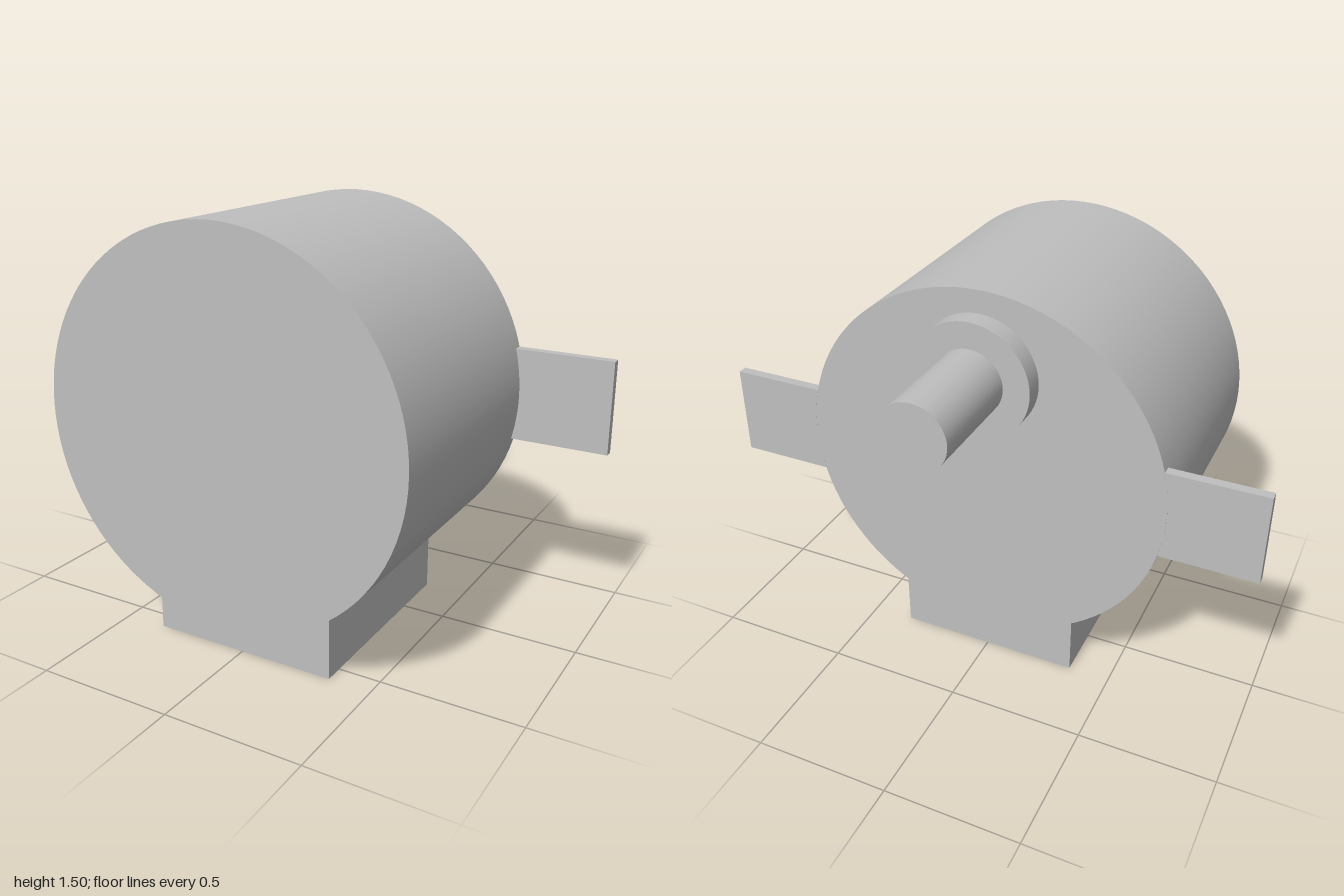
import * as THREE from 'three';

const R = 0.674, CY = 0.827, SHAFT_Y = 1.207;
const BACK = -0.235, FRONT = 0.69;

export function createModel() {
  const group = new THREE.Group();
  const metal = new THREE.MeshStandardMaterial({ color: 0xbfbfbf });
  metal.name = 'grey metal';

  const add = (name, geometry) => {
    const mesh = new THREE.Mesh(geometry, metal);
    mesh.name = name;
    group.add(mesh);
  };

  // Cylinder lying along z between two depths
  const barrel = (name, radius, y, z0, z1, sides) => {
    const g = new THREE.CylinderGeometry(radius, radius, z1 - z0, sides);
    g.rotateX(Math.PI / 2).translate(0, y, (z0 + z1) / 2);
    add(name, g);
  };

  // Flat-sided block whose inner edge follows the body's curve.
  // It reaches outwards along +x, then is turned about the body's axis.
  const saddle = (name, halfWidth, reach, z0, z1, angle) => {
    const a = Math.asin(halfWidth / R);
    const shape = new THREE.Shape();
    shape.moveTo(R * Math.cos(a), -halfWidth);
    shape.lineTo(reach, -halfWidth);
    shape.lineTo(reach, halfWidth);
    shape.lineTo(R * Math.cos(a), halfWidth);
    shape.absarc(0, 0, R, a, -a, true);
    const g = new THREE.ExtrudeGeometry(shape, { depth: z1 - z0, bevelEnabled: false, curveSegments: 20 });
    g.rotateZ(angle).translate(0, CY, z0);
    add(name, g);
  };

  // Motor can, shaft collar and off-centre output shaft
  barrel('body', R, CY, BACK, FRONT, 96);
  barrel('shaftCollar', 0.213, SHAFT_Y, -0.307, BACK, 64);
  barrel('shaft', 0.119, SHAFT_Y, -0.69, -0.307, 48);

  // Thin mounting tabs, flush with the back face
  saddle('leftMountingTab', 0.166, 1, BACK, -0.2, 0);
  saddle('rightMountingTab', 0.166, 1, BACK, -0.2, Math.PI);

  // Terminal block underneath
  saddle('base', 0.345, CY, -0.2, 0.57, -Math.PI / 2);

  return group;
}
